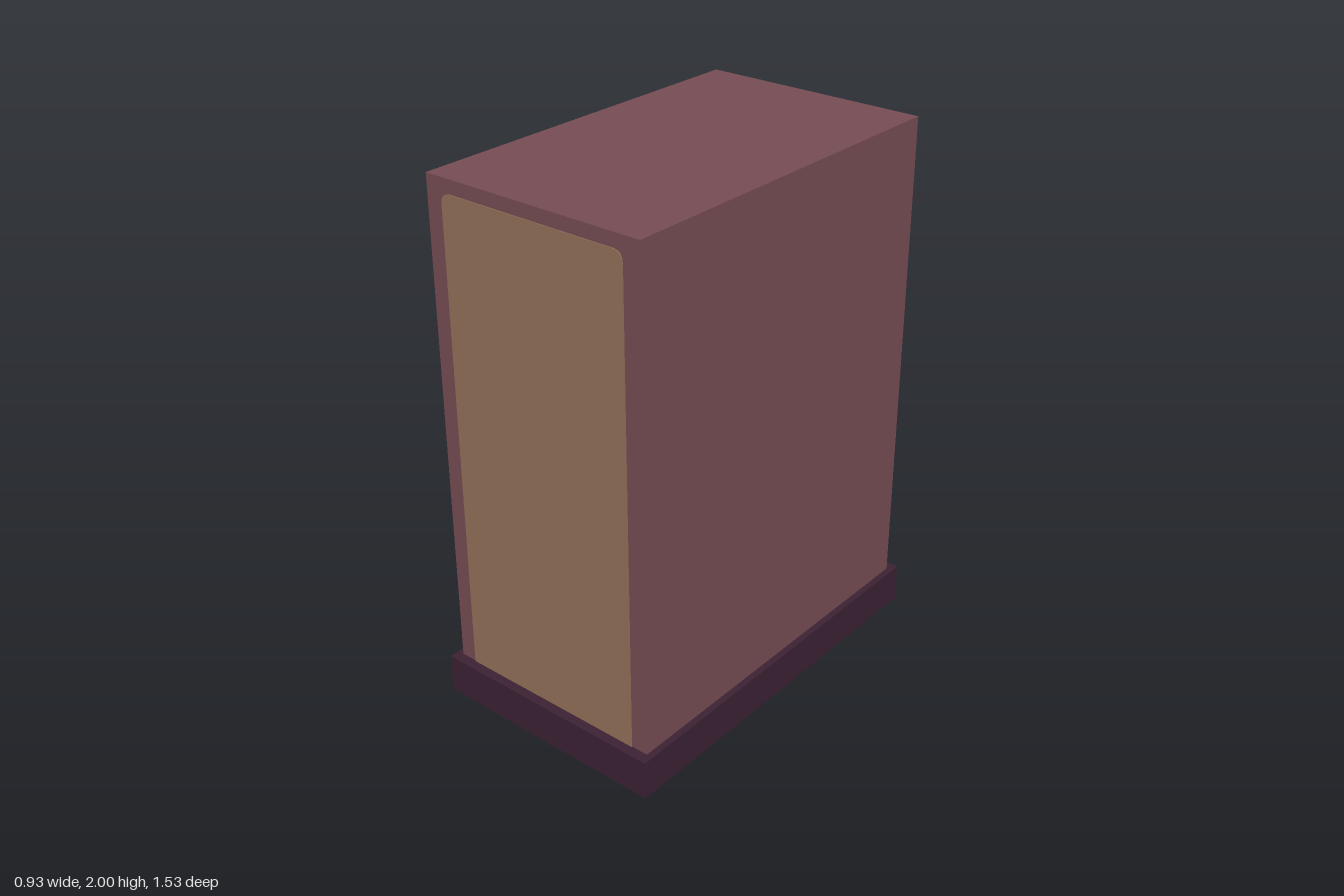
import * as THREE from 'three';

const mauve = new THREE.MeshStandardMaterial({ color: 0x784d55 });
mauve.name = 'mauveWood';
const tan = new THREE.MeshStandardMaterial({ color: 0x96725b });
tan.name = 'tanWood';
const plum = new THREE.MeshStandardMaterial({ color: 0x3d2235 });
plum.name = 'darkPlum';

const W = 0.442, D = 0.728;               // half width and half depth of the body
const Y0 = 0.15, Y1 = 2;                  // body bottom and top
const O = { z: 0.62, y0: 0.935, y1: 1.785, back: 0.4 }; // shelf opening

// box given by its low and high corners
function box(name, mat, [x0, y0, z0], [x1, y1, z1]) {
  const g = new THREE.BoxGeometry(x1 - x0, y1 - y0, z1 - z0);
  g.translate((x0 + x1) / 2, (y0 + y1) / 2, (z0 + z1) / 2);
  const m = new THREE.Mesh(g, mat);
  m.name = name;
  return m;
}

// rectangle with rounded top corners (rt) and bottom corners (rb)
function outline(path, h, y0, y1, rt, rb) {
  path.moveTo(-h + rb, y0);
  path.lineTo(h - rb, y0);
  if (rb) path.quadraticCurveTo(h, y0, h, y0 + rb);
  path.lineTo(h, y1 - rt);
  if (rt) path.quadraticCurveTo(h, y1, h - rt, y1);
  path.lineTo(-h + rt, y1);
  if (rt) path.quadraticCurveTo(-h, y1, -h, y1 - rt);
  path.lineTo(-h, y0 + rb);
  if (rb) path.quadraticCurveTo(-h, y0, -h + rb, y0);
  return path;
}

// thin plate lying on the body, turned about y
function plate(name, shape, depth, turn, offset) {
  const g = new THREE.ExtrudeGeometry(shape, { depth, bevelEnabled: false, curveSegments: 5 });
  g.translate(0, 0, offset);
  g.rotateY(turn);
  const m = new THREE.Mesh(g, tan);
  m.name = name;
  return m;
}

export function createModel() {
  const model = new THREE.Group();
  model.name = 'cabinet';

  // plinth
  model.add(box('plinth', plum, [-0.467, 0, -0.767], [0.467, Y0, 0.767]));

  // carcass around the open compartment
  const carcass = new THREE.Group();
  carcass.name = 'carcass';
  carcass.add(
    box('lowerBody', mauve, [-W, Y0, -D], [W, O.y0, D]),
    box('topBody', mauve, [-W, O.y1, -D], [W, Y1, D]),
    box('compartmentBack', mauve, [O.back, O.y0, -O.z], [W, O.y1, O.z]),
  );
  for (const s of [-1, 1]) {
    const [a, b] = s < 0 ? [-D, -O.z] : [O.z, D];
    carcass.add(box('compartmentSide', mauve, [-W, O.y0, a], [W, O.y1, b]));
  }
  model.add(carcass);

  // compartment floor and shelf, each with a tan top
  model.add(
    box('compartmentFloor', tan, [-W + 0.004, O.y0, -O.z], [O.back, O.y0 + 0.004, O.z]),
    box('shelf', mauve, [-0.39, 1.34, -O.z], [O.back, 1.4, O.z]),
    box('shelfTop', tan, [-0.325, 1.4, -O.z], [O.back, 1.404, O.z]),
  );

  // end panels, front and back
  const endShape = outline(new THREE.Shape(), 0.376, Y0, 1.95, 0.04, 0);
  model.add(
    plate('frontPanel', endShape, 0.003, 0, D),
    plate('backPanel', endShape, 0.003, Math.PI, D),
  );

  // rounded trim around the opening
  const trim = outline(new THREE.Shape(), 0.7, 0.846, 1.872, 0.045, 0.045);
  trim.holes.push(outline(new THREE.Path(), 0.645, 0.908, 1.812, 0.03, 0.03));
  model.add(plate('openingTrim', trim, 0.003, -Math.PI / 2, W));

  // drawer panel with two raised drawer fronts
  model.add(box('drawerPanel', tan, [-W - 0.003, Y0, -D + 0.003], [-W, 0.79, D - 0.003]));
  for (const [a, b] of [[0.21, 0.41], [0.53, 0.72]]) {
    model.add(box('drawerFront', tan, [-W - 0.009, a, -0.67], [-W - 0.003, b, 0.67]));
  }
  return model;
}
